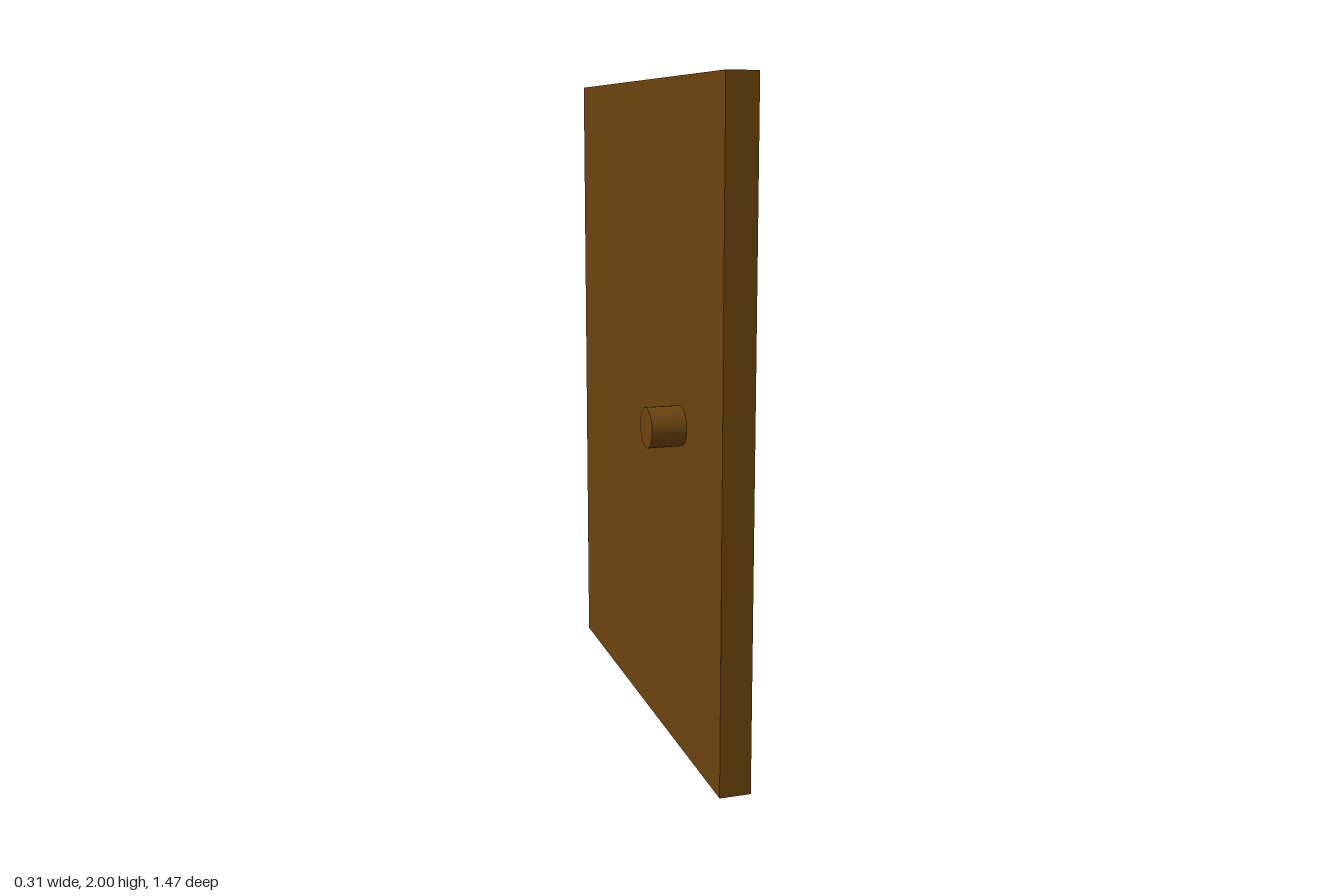
import * as THREE from 'three';

export function createModel() {
  const group = new THREE.Group();
  const wood = new THREE.MeshStandardMaterial({ color: 0x6b430e });
  wood.name = 'brown wood';

  const add = (name, geometry, x, y, z) => {
    const mesh = new THREE.Mesh(geometry, wood);
    mesh.name = name;
    mesh.position.set(x, y, z);
    group.add(mesh);
  };

  // Door slab, thin along x
  add('doorPanel', new THREE.BoxGeometry(0.094, 2, 1.47), -0.004, 1, 0);

  // Raised plate on the +x face
  add('namePlate', new THREE.BoxGeometry(0.03, 0.16, 0.386), 0.056, 1.01, -0.005);

  // One round bar through the slab forms the knobs on both sides
  add('doorKnobs', new THREE.CylinderGeometry(0.06, 0.06, 0.31, 32).rotateZ(Math.PI / 2), 0, 1, 0.37);

  return group;
}
